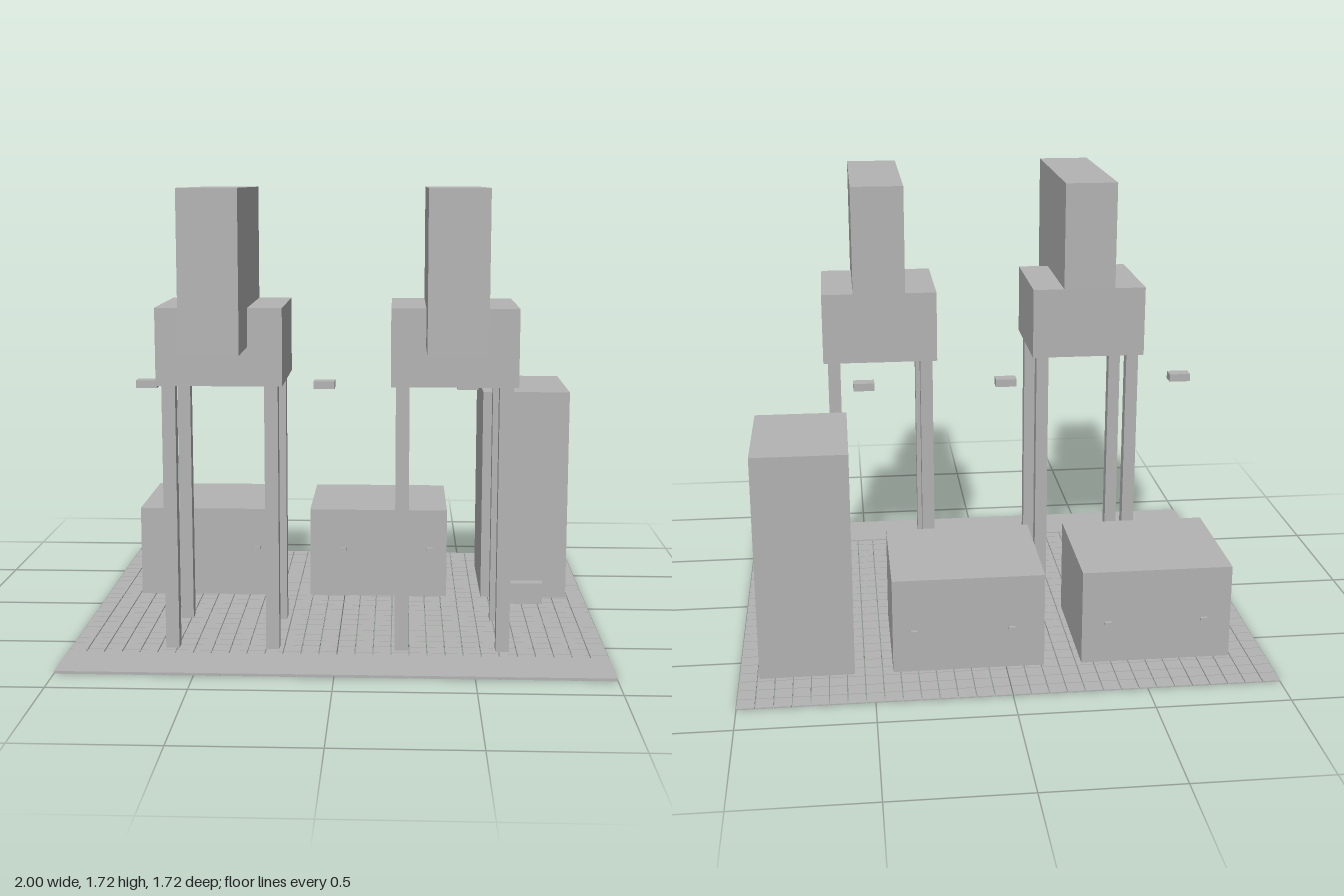
import * as THREE from 'three';
import { mergeGeometries } from 'three/addons/utils/BufferGeometryUtils.js';

export function createModel() {
  const model = new THREE.Group();
  model.name = 'furnishedPlatform';
  const grey = new THREE.MeshStandardMaterial({ color: 0xb3b3b3 });
  grey.name = 'plain grey';

  // box from its minimum and maximum on each axis
  const boxGeometry = (x0, x1, y0, y1, z0, z1) =>
    new THREE.BoxGeometry(x1 - x0, y1 - y0, z1 - z0)
      .translate((x0 + x1) / 2, (y0 + y1) / 2, (z0 + z1) / 2);
  const box = (name, parent, ...bounds) => {
    const mesh = new THREE.Mesh(boxGeometry(...bounds), grey);
    mesh.name = name;
    parent.add(mesh);
  };

  // floor: a grid of thin tiles with narrow joints
  const columns = 30, rows = 26, halfDepth = 0.86, joint = 0.002;
  const dx = 2 / columns, dz = 2 * halfDepth / rows;
  const tiles = [];
  for (let i = 0; i < columns; i++) {
    for (let j = 0; j < rows; j++) {
      const x = -1 + i * dx, z = -halfDepth + j * dz;
      tiles.push(boxGeometry(
        i ? x + joint : x, i < columns - 1 ? x + dx - joint : x + dx, 0, 0.005,
        j ? z + joint : z, j < rows - 1 ? z + dz - joint : z + dz));
    }
  }
  const floor = new THREE.Mesh(mergeGeometries(tiles), grey);
  floor.name = 'floorTiles';
  model.add(floor);
  box('frontStrip', model, -1, 1, 0.003, 0.01, 0.64, halfDepth);

  // two raised blocks on four legs, each with an overhanging upper block
  for (const cx of [-0.43, 0.426]) {
    const tower = new THREE.Group();
    tower.name = 'raisedBlock';
    tower.position.x = cx;
    box('lowerBlock', tower, -0.231, 0.231, 1, 1.285, 0.125, 0.588);
    box('upperBlock', tower, -0.105, 0.105, 1.145, 1.715, 0.125, halfDepth);
    for (const x of [-0.188, 0.188])
      for (const z of [0.171, 0.547])
        box('leg', tower, x - 0.025, x + 0.025, 0.005, 1, z - 0.025, z + 0.025);
    model.add(tower);
  }

  // low cabinets, tall cabinet and the step before it
  for (const x of [-0.86, -0.145])
    box('lowCabinet', model, x, x + 0.572, 0.005, 0.375, -0.643, -0.143);
  box('tallCabinet', model, 0.571, 0.926, 0.005, 0.877, -0.643, -0.143);
  box('step', model, 0.64, 0.82, 0.005, 0.092, -0.092, -0.046);

  // small floating handles
  for (const x of [-0.789, -0.075, 0.498])
    box('handle', model, x - 0.042, x + 0.042, 0.915, 0.946, 0.008, 0.062);

  // floating studs before and behind the low cabinets
  for (const x of [-0.718, -0.36, -0.003, 0.355])
    for (const z of [-0.037, -0.787])
      box('stud', model, x - 0.013, x + 0.013, 0.229, 0.241, z - 0.006, z + 0.006);

  return model;
}
